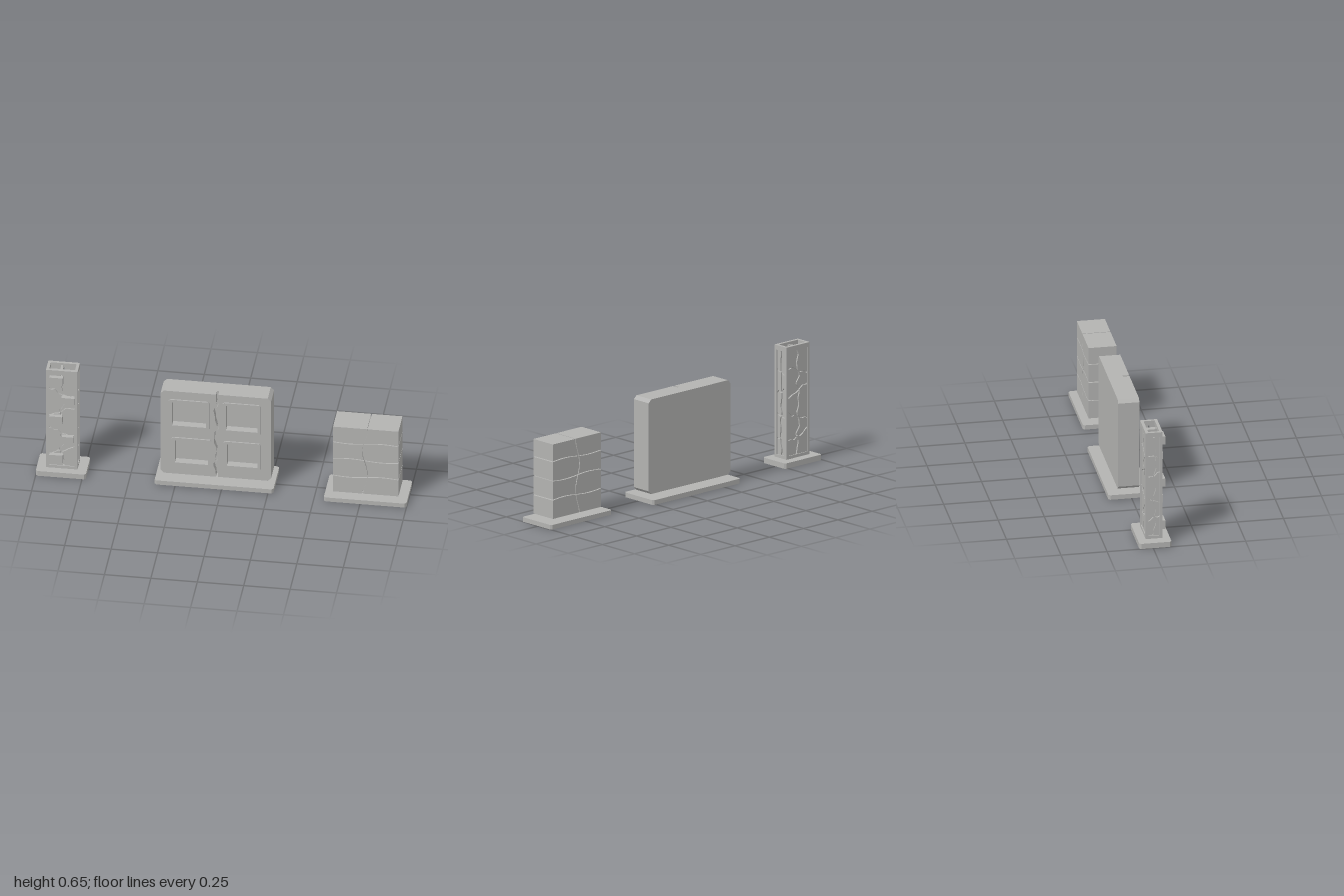
import * as THREE from 'three';

const stone = new THREE.MeshStandardMaterial({ color: 0xb3b3b1 });
stone.name = 'pale stone';

function add(parent, name, geometry) {
  const mesh = new THREE.Mesh(geometry, stone);
  mesh.name = name;
  parent.add(mesh);
  return mesh;
}

function box(parent, name, x0, x1, y0, y1, z0, z1) {
  const mesh = add(parent, name, new THREE.BoxGeometry(x1 - x0, y1 - y0, z1 - z0));
  mesh.position.set((x0 + x1) / 2, (y0 + y1) / 2, (z0 + z1) / 2);
  return mesh;
}

const extrude = (shape, depth) => new THREE.ExtrudeGeometry(shape, { depth, bevelEnabled: false });
const polygon = (pts) => new THREE.Shape(pts.map(([x, y]) => new THREE.Vector2(x, y)));

// Rectangle with cut corners
const cutRect = (x0, x1, y0, y1, c) => [
  [x0 + c, y0], [x1 - c, y0], [x1, y0 + c], [x1, y1 - c],
  [x1 - c, y1], [x0 + c, y1], [x0, y1 - c], [x0, y0 + c]];

function plinth(parent, x0, x1, z0, z1, y0, y1) {
  const g = extrude(polygon(cutRect(x0, x1, -z1, -z0, 0.01)), y1 - y0);
  g.rotateX(-Math.PI / 2);
  add(parent, 'plinth', g).position.y = y0;
}

// One stone bounded by two upright curves x(y) and two level curves y(x)
function stoneShape(left, right, low, high, yLow, yHigh, n) {
  const corner = (side, level, y) => {
    let x = side(y);
    for (let i = 0; i < 4; i++) x = side(level(x));
    return [x, level(x)];
  };
  const c = [corner(left, low, yLow), corner(right, low, yLow),
    corner(right, high, yHigh), corner(left, high, yHigh)];
  const pts = [];
  for (let e = 0; e < 4; e++) {
    const a = c[e], b = c[(e + 1) % 4];
    for (let i = 0; i < n; i++) {
      const t = i / n, x = a[0] + (b[0] - a[0]) * t, y = a[1] + (b[1] - a[1]) * t;
      if (i === 0) pts.push(a);
      else if (e % 2 === 0) pts.push([x, (e === 0 ? low : high)(x)]);
      else pts.push([(e === 1 ? right : left)(y), y]);
    }
  }
  return polygon(pts);
}

// Two columns of stones, split by a centre seam and several cross seams
function stonework(parent, name, x0, x1, levels, seam, depth, gap, n) {
  const g = gap / 2, last = levels.length - 1;
  for (let r = 0; r < last; r++) {
    const yLow = levels[r](x0), yHigh = levels[r + 1](x0);
    const low = (x) => levels[r](x) + (r > 0 ? g : 0);
    const high = (x) => levels[r + 1](x) - (r + 1 < last ? g : 0);
    add(parent, name, extrude(stoneShape(() => x0, (y) => seam(y) - g, low, high, yLow, yHigh, n), depth));
    add(parent, name, extrude(stoneShape((y) => seam(y) + g, () => x1, low, high, yLow, yHigh, n), depth));
  }
}

// Deterministic jagged offset for cracks
function jag(seed, step, size) {
  const h = (i) => { const s = Math.sin(i * 12.9898 + seed * 78.233) * 43758.5453; return (s - Math.floor(s)) * 2 - 1; };
  return (t) => {
    const i = Math.floor(t / step), f = t / step - i;
    return size * (h(i) * (1 - f) + h(i + 1) * f);
  };
}

function buildPillar() {
  const g = new THREE.Group();
  g.name = 'crackedPillar';
  plinth(g, -1, -0.73, -0.075, 0.10, 0, 0.03);
  const X0 = -0.95, X1 = -0.78, Z0 = -0.032, Z1 = 0.06, Y0 = 0.033, Y1 = 0.653, p = 0.016;
  box(g, 'pillarCore', X0 + 0.016, X1 - 0.016, Y0, 0.615, Z0 + 0.016, Z1 - 0.016);
  // Corner posts
  for (const x of [X0, X1 - p]) for (const z of [Z0, Z1 - p]) box(g, 'cornerPost', x, x + p, Y0, Y1, z, z + p);
  // Top and bottom rails
  for (const [a, b] of [[Y0, 0.05], [0.627, Y1]]) {
    for (const z of [Z0, Z1 - p]) box(g, 'rail', X0 + p, X1 - p, a, b, z, z + p);
    for (const x of [X0, X1 - p]) box(g, 'rail', x, x + p, a, b, Z0 + p, Z1 - p);
  }
  // Cracked stones on all four faces
  const cx = (X0 + X1) / 2, cz = (Z0 + Z1) / 2;
  const faces = [
    [0, X1 - X0, Z1 - cz], [Math.PI, X1 - X0, Z1 - cz],
    [Math.PI / 2, Z1 - Z0, X1 - cx], [-Math.PI / 2, Z1 - Z0, X1 - cx]];
  faces.forEach(([angle, width, out], k) => {
    const face = new THREE.Group();
    face.name = 'crackedFace';
    face.position.set(cx, 0, cz);
    face.rotation.y = angle;
    const h = width / 2 - p, panel = new THREE.Group();
    panel.name = 'crackedPanel';
    panel.position.z = out - 0.014;
    const levels = [0.05, 0.15, 0.26, 0.40, 0.51, 0.627].map((y, i) => {
      const j = jag(i + k * 9 + 1, 0.02, 0.012), slope = i % 2 ? 0.4 : -0.4;
      return i === 0 || i === 5 ? () => y : (x) => y + slope * x + j(x);
    });
    const sway = jag(k + 40, 0.04, width * 0.1);
    stonework(panel, 'crackedStone', -h, h, levels, sway, 0.009, 0.008, 8);
    face.add(panel);
    g.add(face);
  });
  // Broken seam across the open top
  const j = jag(7, 0.02, 0.008);
  for (let i = 0; i < 4; i++) {
    const z = Z0 + p + i * 0.015;
    box(g, 'topRubble', cx + j(z) - 0.007, cx + j(z) + 0.007, 0.61, 0.64, z, z + 0.015);
  }
  // Projecting stones on the front
  for (const [x, y, w, hh] of [[-0.93, 0.57, 0.073, 0.047], [-0.865, 0.455, 0.07, 0.038],
    [-0.93, 0.325, 0.07, 0.045], [-0.865, 0.2, 0.065, 0.045], [-0.93, 0.075, 0.072, 0.05]])
    box(g, 'projectingStone', x, x + w, y, y + hh, 0.04, 0.078);
  return g;
}

function buildWall() {
  const g = new THREE.Group();
  g.name = 'panelledWall';
  plinth(g, -0.36, 0.28, -0.127, 0.10, 0.004, 0.03);
  const x0 = -0.335, x1 = 0.26, y0 = 0.047, y1 = 0.57, c = 0.018;
  add(g, 'wallBack', extrude(polygon(cutRect(x0, x1, y0, y1, c)), 0.08)).position.z = -0.07;
  const crack = (y) => -0.035 + 0.007 * Math.sin(y * 38) + 0.003 * Math.sin(y * 90);
  const windows = [
    [[-0.29, -0.07, 0.34, 0.52], [-0.275, -0.06, 0.105, 0.28]],
    [[0, 0.205, 0.335, 0.525], [0.005, 0.205, 0.11, 0.28]]];
  const rect = (a, b, d, e) => polygon([[a, d], [b, d], [b, e], [a, e]]);
  windows.forEach((list, s) => {
    // Front half with a wavy inner edge and two recesses
    const side = s ? 1 : -1, pts = [];
    for (let i = 0; i <= 30; i++) {
      const y = y0 + (y1 - y0) * i / 30;
      pts.push([crack(y) + side * 0.006, y]);
    }
    const e = s ? x1 : x0;
    pts.push([e - side * c, y1], [e, y1 - c], [e, y0 + c], [e - side * c, y0]);
    const shape = polygon(pts), m = 0.018;
    for (const [a, b, d, f] of list) {
      shape.holes.push(rect(a + m, b - m, d + m, f - m));
      // Raised surround
      const frame = polygon(cutRect(a, b, d, f, 0.008));
      frame.holes.push(rect(a + m, b - m, d + m, f - m));
      add(g, 'recessFrame', extrude(frame, 0.008)).position.z = 0.045;
    }
    add(g, 'wallFront', extrude(shape, 0.035)).position.z = 0.01;
  });
  return g;
}

function buildBlock() {
  const g = new THREE.Group();
  g.name = 'stackedBlock';
  plinth(g, 0.555, 1, -0.10, 0.128, 0, 0.025);
  box(g, 'blockCore', 0.61, 0.94, 0.055, 0.445, -0.05, 0.08);
  const levels = [0.043, 0.147, 0.253, 0.359, 0.455].map((y, i) =>
    i === 0 || i === 4 ? () => y : (x) => y + 0.006 * Math.sin((x - 0.6) / 0.35 * Math.PI * 2 + i * Math.PI));
  const seam = (y) => 0.772 + 0.014 * Math.sin((y - 0.1) * 22);
  const stones = new THREE.Group();
  stones.name = 'courses';
  stones.position.z = -0.062;
  stonework(stones, 'courseStone', 0.6, 0.952, levels, seam, 0.152, 0.005, 14);
  g.add(stones);
  return g;
}

export function createModel() {
  const model = new THREE.Group();
  model.name = 'stoneWallSet';
  model.add(buildPillar(), buildWall(), buildBlock());
  return model;
}
